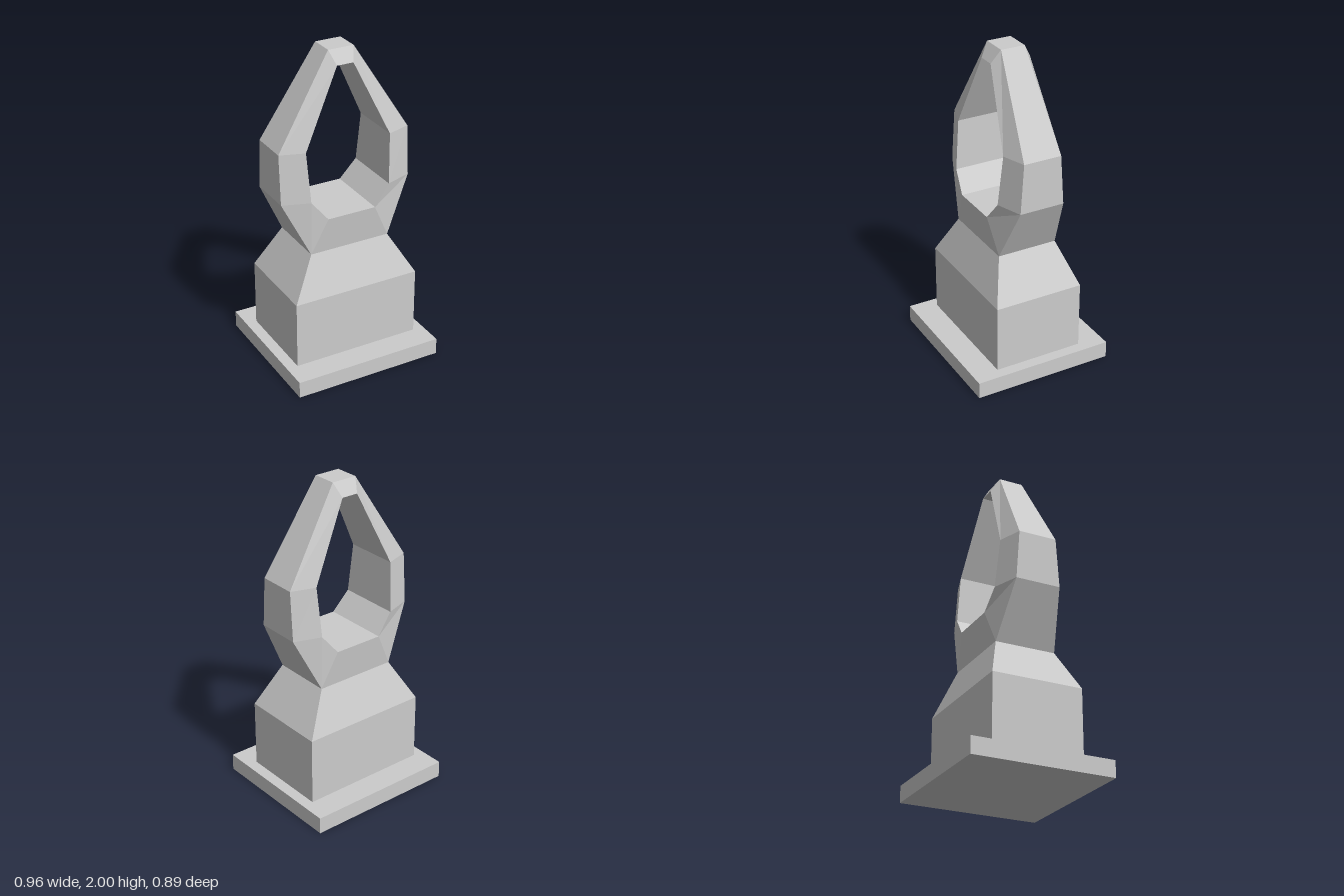
import * as THREE from 'three';

const material = new THREE.MeshStandardMaterial({ color: 0xcccccc, flatShading: true });

// Skin a row of four-cornered sections with flat quads.
function loft(sections, closed) {
  const pos = [];
  const n = sections.length;
  for (let s = 0; s < (closed ? n : n - 1); s++) {
    const a = sections[s], b = sections[(s + 1) % n];
    for (let i = 0; i < 4; i++) {
      const j = (i + 1) % 4;
      pos.push(...a[i], ...a[j], ...b[j], ...a[i], ...b[j], ...b[i]);
    }
  }
  const geometry = new THREE.BufferGeometry();
  geometry.setAttribute('position', new THREE.Float32BufferAttribute(pos, 3));
  geometry.computeVertexNormals();
  return geometry;
}

function addPart(group, name, geometry) {
  const mesh = new THREE.Mesh(geometry, material);
  mesh.name = name;
  group.add(mesh);
  return mesh;
}

export function createModel() {
  const group = new THREE.Group();
  group.name = 'ringSculpture';

  // Square base slab
  addPart(group, 'plinth', new THREE.BoxGeometry(0.96, 0.105, 0.89)).position.y = 0.0525;

  // Block with tapered shoulders: [half width, y, half depth]
  const levels = [[0.41, 0.105, 0.284], [0.41, 0.53, 0.284], [0.26, 0.79, 0.19]];
  addPart(group, 'pedestal', loft(levels.map(([w, y, d]) =>
    [[-w, y, d], [w, y, d], [w, y, -d], [-w, y, -d]]), false));

  // Pointed ring, one side from top to bottom:
  // outer x, y, half depth, then inner x, y, half depth
  const side = [
    [0.082, 2.0, 0.076, 0.053, 1.917, 0.127],
    [0.427, 1.445, 0.12, 0.277, 1.445, 0.17],
    [0.427, 1.135, 0.141, 0.26, 1.135, 0.198],
    [0.26, 0.79, 0.19, 0.157, 1.01, 0.214],
  ];
  const section = ([ox, oy, od, ix, iy, id], m) =>
    [[m * ox, oy, od], [m * ix, iy, id], [m * ix, iy, -id], [m * ox, oy, -od]];
  const ring = [
    ...side.map((s) => section(s, 1)),
    ...side.slice().reverse().map((s) => section(s, -1)),
  ];
  addPart(group, 'pointedRing', loft(ring, true));

  return group;
}
